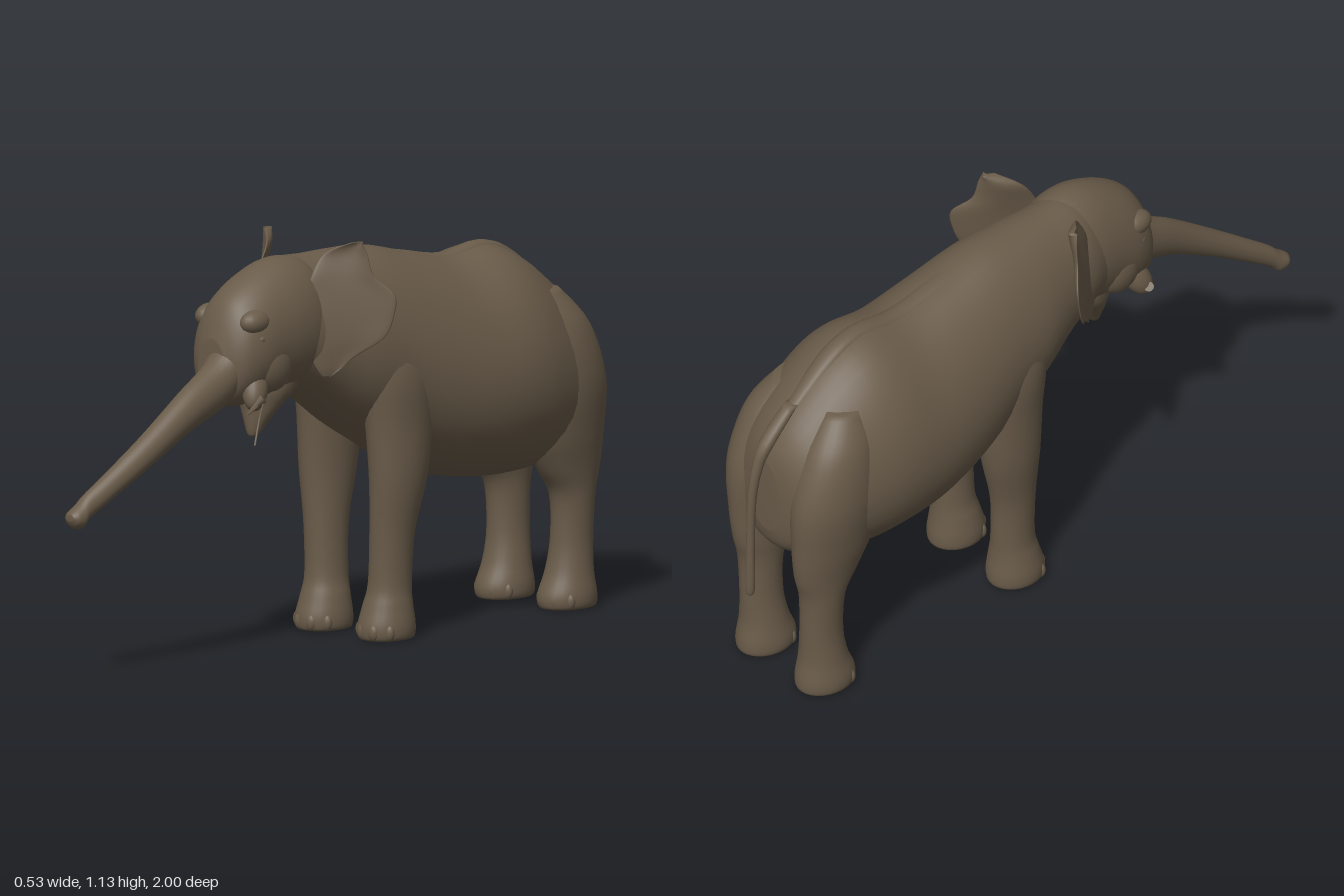
import * as THREE from 'three';

const hide = new THREE.MeshStandardMaterial({ color: 0x695b49 });
hide.name = 'brown grey hide';

// Samples rows of numbers as smooth curves, one per column
function smoothRows(rows, steps) {
  const out = [];
  const at = i => rows[Math.max(0, Math.min(rows.length - 1, i))];
  for (let i = 0; i < rows.length - 1; i++) {
    for (let s = 0; s < steps; s++) {
      const t = s / steps;
      out.push(rows[i].map((b, k) => {
        const a = at(i - 1)[k], c = at(i + 1)[k], d = at(i + 2)[k];
        return b + 0.5 * t * (c - a + t * (2 * a - 5 * b + 4 * c - d + t * (3 * (b - c) + d - a)));
      }));
    }
  }
  out.push(rows[rows.length - 1]);
  return out;
}

// Skins closed rings, caps both ends and makes the faces point outward
function skin(rings) {
  const n = rings[0].length, pts = rings.flat(), index = [];
  for (let i = 0; i < rings.length - 1; i++) {
    for (let j = 0; j < n; j++) {
      const a = i * n + j, b = i * n + (j + 1) % n;
      index.push(a, b, a + n, b, b + n, a + n);
    }
  }
  [0, rings.length - 1].forEach((r, end) => {
    const centre = new THREE.Vector3();
    rings[r].forEach(p => centre.addScaledVector(p, 1 / n));
    const c = pts.push(centre) - 1;
    for (let j = 0; j < n; j++) {
      const a = r * n + j, b = r * n + (j + 1) % n;
      if (end) index.push(c, a, b); else index.push(c, b, a);
    }
  });
  let volume = 0;
  const cross = new THREE.Vector3();
  for (let i = 0; i < index.length; i += 3) {
    volume += pts[index[i]].dot(cross.crossVectors(pts[index[i + 1]], pts[index[i + 2]]));
  }
  if (volume < 0) index.reverse();
  const geo = new THREE.BufferGeometry().setFromPoints(pts);
  geo.setIndex(index);
  geo.computeVertexNormals();
  return geo;
}

// Elliptical loft along z: rows of [z, x, centre y, half width, half height]
// or along y: rows of [y, x, centre z, half width, half depth]
function loft(rows, axis, egg = 0, n = 28) {
  return skin(smoothRows(rows, 5).map(([along, x, c, rx, r]) =>
    Array.from({ length: n }, (_, j) => {
      const a = j / n * Math.PI * 2;
      const px = x + rx * Math.cos(a) * (1 - egg * Math.sin(a)), pc = c + r * Math.sin(a);
      return axis === 'z' ? new THREE.Vector3(px, pc, along) : new THREE.Vector3(px, along, pc);
    })));
}

// [z, top, bottom, half width] to a loft row
const span = x => ([z, top, bottom, w]) => [z, x, (top + bottom) / 2, w, (top - bottom) / 2];
const mirrorRows = (rows, side) => rows.map(([y, x, ...rest]) => [y, x * side, ...rest]);

export function createModel() {
  const model = new THREE.Group();
  model.name = 'elephant';
  const add = (name, geo, parent = model) => {
    const mesh = new THREE.Mesh(geo, hide);
    mesh.name = name;
    parent.add(mesh);
    return mesh;
  };
  const blob = (name, pos, scale, parent) => {
    const mesh = add(name, new THREE.SphereGeometry(1, 20, 14), parent);
    mesh.position.set(...pos);
    mesh.scale.set(...scale);
    return mesh;
  };

  // Trunk of the body, from rump to neck
  add('body', loft([
    [-0.93, 0.74, 0.52, 0.05], [-0.91, 0.80, 0.46, 0.13], [-0.85, 0.88, 0.42, 0.19],
    [-0.72, 0.985, 0.39, 0.235], [-0.6, 1.03, 0.385, 0.255], [-0.45, 1.015, 0.40, 0.25],
    [-0.3, 1.045, 0.44, 0.23], [-0.15, 1.08, 0.52, 0.203], [-0.03, 1.085, 0.59, 0.185],
    [0.08, 1.085, 0.665, 0.155], [0.18, 1.085, 0.72, 0.135], [0.25, 1.05, 0.74, 0.11],
  ].map(span(0)), 'z', 0.12, 40));

  // Spine ridge
  add('spine', loft([
    [-0.88, 0, 0.84, 0.02, 0.02], [-0.72, 0, 0.975, 0.03, 0.02], [-0.6, 0, 1.02, 0.03, 0.018],
    [-0.45, 0, 1.005, 0.03, 0.016], [-0.3, 0, 1.033, 0.03, 0.014], [-0.15, 0, 1.065, 0.03, 0.01],
  ], 'z', 0, 14));

  // Head, jaw and face
  add('head', loft([
    [0.08, 1.06, 0.74, 0.10], [0.15, 1.088, 0.72, 0.125], [0.22, 1.093, 0.715, 0.132],
    [0.29, 1.075, 0.71, 0.13], [0.36, 1.04, 0.70, 0.125], [0.41, 1.00, 0.70, 0.11],
    [0.44, 0.95, 0.71, 0.085], [0.46, 0.89, 0.74, 0.05],
  ].map(span(0.012)), 'z', 0.03, 36));
  add('jaw', loft([
    [0.82, 0.01, 0.22, 0.09, 0.09], [0.74, 0.01, 0.24, 0.085, 0.085], [0.69, 0.01, 0.265, 0.065, 0.05],
    [0.64, 0.01, 0.283, 0.035, 0.03], [0.61, 0.01, 0.293, 0.018, 0.016], [0.602, 0.01, 0.295, 0.006, 0.006],
  ], 'y'));

  // Long raised trunk
  add('trunk', loft([
    [0.34, 0.015, 0.87, 0.085, 0.11], [0.41, 0.022, 0.83, 0.075, 0.105], [0.47, 0.035, 0.772, 0.057, 0.075],
    [0.6, 0.045, 0.71, 0.044, 0.06], [0.75, 0.038, 0.615, 0.036, 0.047], [0.88, 0.018, 0.528, 0.029, 0.039],
    [0.94, 0.006, 0.487, 0.026, 0.036], [0.965, 0.003, 0.463, 0.029, 0.036],
    [0.988, 0, 0.458, 0.027, 0.024], [1.0, 0, 0.462, 0.014, 0.01],
  ], 'z'));

  // Tail
  add('tail', loft([
    [0.90, 0, -0.835, 0.02, 0.02], [0.82, 0, -0.918, 0.022, 0.025], [0.75, 0, -0.958, 0.015, 0.018],
    [0.65, 0, -0.98, 0.012, 0.014], [0.5, 0, -0.986, 0.012, 0.012], [0.38, 0, -0.987, 0.014, 0.013],
    [0.33, 0, -0.987, 0.012, 0.012], [0.32, 0, -0.987, 0.004, 0.004],
  ], 'y', 0, 14));

  const frontLegRows = [
    [0.005, 0.12, -0.115, 0.055, 0.07], [0.012, 0.12, -0.115, 0.072, 0.083], [0.045, 0.12, -0.115, 0.075, 0.085],
    [0.10, 0.12, -0.12, 0.066, 0.073], [0.16, 0.122, -0.126, 0.056, 0.065], [0.3, 0.127, -0.13, 0.056, 0.069],
    [0.45, 0.135, -0.145, 0.067, 0.092], [0.6, 0.132, -0.15, 0.074, 0.108], [0.75, 0.128, -0.14, 0.078, 0.115],
    [0.88, 0.10, -0.12, 0.065, 0.09], [0.95, 0.09, -0.11, 0.03, 0.04],
  ];
  const hindLegRows = [
    [0.005, 0.12, -0.82, 0.055, 0.075], [0.012, 0.12, -0.82, 0.072, 0.088], [0.045, 0.12, -0.82, 0.075, 0.089],
    [0.11, 0.12, -0.828, 0.064, 0.071], [0.2, 0.122, -0.835, 0.055, 0.064], [0.32, 0.125, -0.834, 0.058, 0.07],
    [0.4, 0.125, -0.818, 0.068, 0.105], [0.5, 0.128, -0.798, 0.083, 0.134], [0.65, 0.13, -0.785, 0.098, 0.146],
    [0.8, 0.12, -0.765, 0.088, 0.11], [0.9, 0.10, -0.73, 0.05, 0.06],
  ];

  // Ear: [y, root x, root z, rim x, rim z]
  const earRows = [
    [1.132, 0.165, 0.07, 0.19, 0.05], [1.10, 0.11, 0.12, 0.20, 0.04], [1.04, 0.10, 0.16, 0.215, 0.03],
    [0.99, 0.10, 0.175, 0.258, -0.008], [0.93, 0.105, 0.185, 0.26, -0.002], [0.87, 0.11, 0.188, 0.245, 0.022],
    [0.82, 0.12, 0.18, 0.192, 0.08], [0.785, 0.13, 0.165, 0.165, 0.11], [0.765, 0.135, 0.15, 0.145, 0.135],
  ];
  const ear = side => skin(smoothRows(earRows, 4).map(([y, ax, az, bx, bz]) => {
    const dx = bx - ax, dz = bz - az, len = Math.hypot(dx, dz);
    return Array.from({ length: 24 }, (_, j) => {
      const a = j / 24 * Math.PI * 2, t = 0.5 - 0.5 * Math.cos(a), thick = 0.008 * Math.sin(a);
      const bow = -0.018 * Math.sin(Math.PI * t);
      return new THREE.Vector3(side * (ax + dx * t - dz / len * thick), y, az + dz * t + dx / len * thick + bow);
    });
  }));

  for (const side of [1, -1]) {
    const label = side > 0 ? 'left' : 'right';
    for (const [end, rows, toeZ] of [['Front', frontLegRows, -0.115], ['Hind', hindLegRows, -0.82]]) {
      const leg = new THREE.Group();
      leg.name = label + end + 'Leg';
      model.add(leg);
      add('leg', loft(mirrorRows(rows, side), 'y'), leg);
      // Blunt toes around the front of the foot
      for (const a of [-0.95, -0.32, 0.32, 0.95]) {
        blob('toe', [side * 0.12 + 0.066 * Math.sin(a), 0.03, toeZ + 0.076 * Math.cos(a)],
          [0.017, 0.024, 0.014], leg);
      }
    }
    add(label + 'Ear', ear(side));
    // Brow, eye, cheek and tusk socket
    const x = s => 0.012 + side * s;
    blob(label + 'Brow', [x(0.085), 0.94, 0.375], [0.035, 0.035, 0.05]);
    blob(label + 'Eye', [x(0.105), 0.895, 0.372], [0.016, 0.014, 0.018]);
    blob(label + 'Cheek', [x(0.085), 0.82, 0.31], [0.045, 0.08, 0.07]);
    const socket = blob(label + 'TuskSocket', [x(0.085), 0.755, 0.375], [0.034, 0.065, 0.038]);
    socket.rotation.set(-0.5, 0, side * 0.35);
    const tusk = add(label + 'Tusk', new THREE.ConeGeometry(0.014, 0.06, 12));
    tusk.position.set(x(0.115), 0.715, 0.405);
    tusk.rotation.set(2.4, 0, side * 0.4);
  }

  // Stalks of grass held in the mouth
  [[[0.13, 0.73, 0.37], [0.16, 0.69, 0.42], [0.19, 0.62, 0.47]],
    [[0.12, 0.73, 0.36], [0.14, 0.71, 0.42], [0.15, 0.70, 0.46]]].forEach(path => {
    const curve = new THREE.CatmullRomCurve3(path.map(p => new THREE.Vector3(...p)));
    add('grassStalk', new THREE.TubeGeometry(curve, 10, 0.003, 6));
  });
  return model;
}
